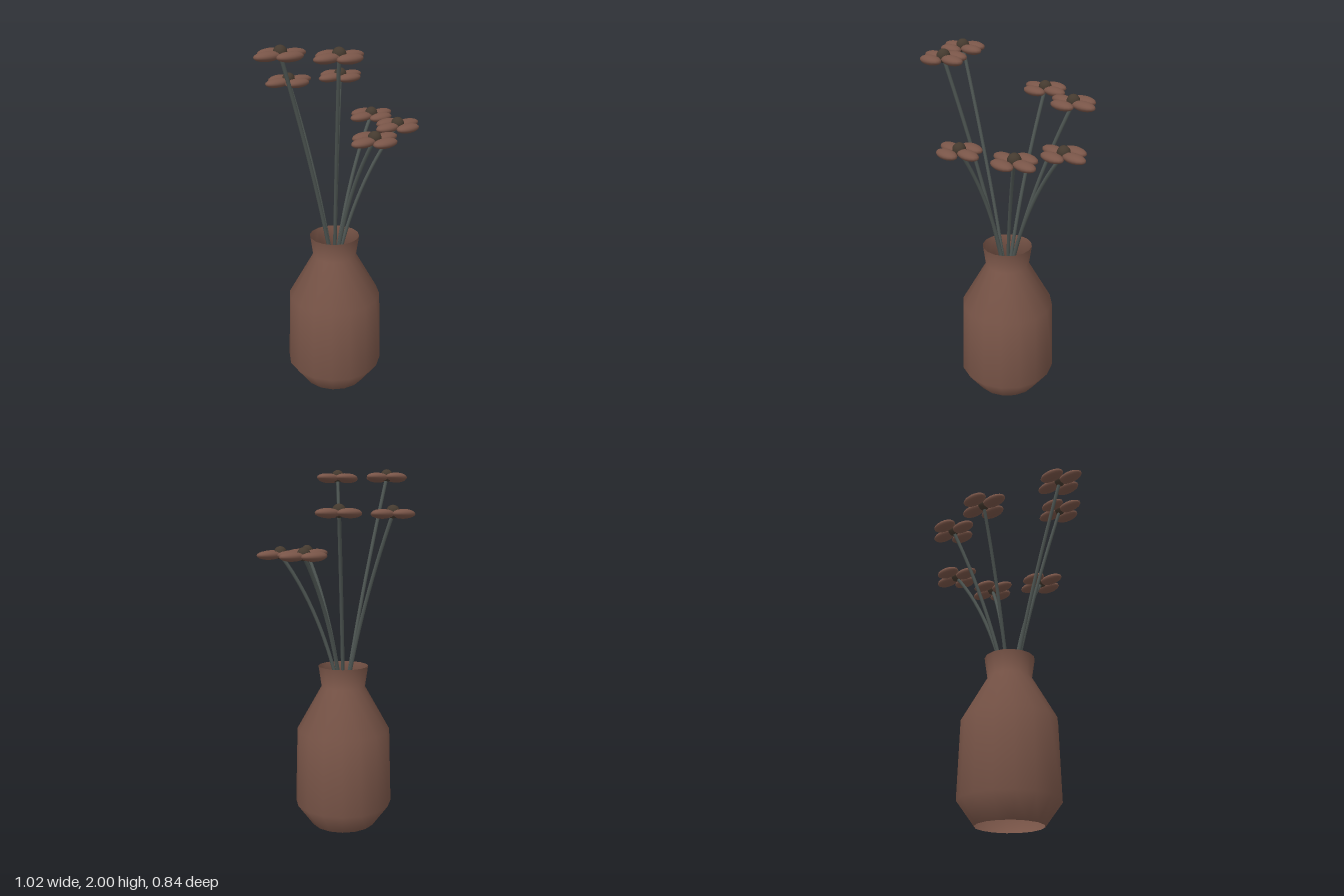
import * as THREE from 'three';

const clay = new THREE.MeshStandardMaterial({ color: 0x795548, side: THREE.DoubleSide });
clay.name = 'clayBrown';
const stemMat = new THREE.MeshStandardMaterial({ color: 0x4e5653 });
stemMat.name = 'stemGrey';
const heartMat = new THREE.MeshStandardMaterial({ color: 0x453a2f });
heartMat.name = 'heartDark';

function addMesh(parent, name, geometry, material) {
  const mesh = new THREE.Mesh(geometry, material);
  mesh.name = name;
  parent.add(mesh);
  return mesh;
}

// Flower head positions: x, height of the petals, z
const FLOWERS = [
  [-0.36, 1.953, 0.022],
  [-0.192, 1.953, 0.252],
  [-0.06, 1.74, -0.305],
  [0.25, 1.74, -0.23],
  [0.355, 1.527, -0.083],
  [0.295, 1.527, 0.18],
  [0.003, 1.527, 0.302],
];

const petalGeo = new THREE.SphereGeometry(1, 16, 10).scale(0.076, 0.024, 0.041);
const heartGeo = new THREE.SphereGeometry(0.035, 14, 10);

function makeFlower(x, y, z) {
  const flower = new THREE.Group();
  flower.name = 'flower';

  // Stem rises from inside the vase and bends outward
  const curve = new THREE.QuadraticBezierCurve3(
    new THREE.Vector3(0.002, 0.65, 0),
    new THREE.Vector3(x * 0.3, 1.2, z * 0.3),
    new THREE.Vector3(x, y, z),
  );
  addMesh(flower, 'stem', new THREE.TubeGeometry(curve, 16, 0.01, 6), stemMat);

  // Four flat oval petals, all lying along x
  for (const [dx, dz] of [[1, 0], [-1, 0], [0, 1], [0, -1]]) {
    addMesh(flower, 'petal', petalGeo, clay)
      .position.set(x + dx * 0.076, y, z + dz * 0.076);
  }

  // Round heart
  addMesh(flower, 'heart', heartGeo, heartMat).position.set(x, y + 0.012, z);
  return flower;
}

export function createModel() {
  const model = new THREE.Group();
  model.name = 'vaseWithFlowers';

  // Thin-walled vase, open at the neck and underneath
  const profile = [[0.18, 0], [0.272, 0.125], [0.26, 0.55], [0.122, 0.795], [0.139, 0.912]]
    .map(([r, y]) => new THREE.Vector2(r, y));
  addMesh(model, 'vase', new THREE.LatheGeometry(profile, 16), clay).position.x = 0.003;

  for (const [x, y, z] of FLOWERS) model.add(makeFlower(x, y, z));
  return model;
}
